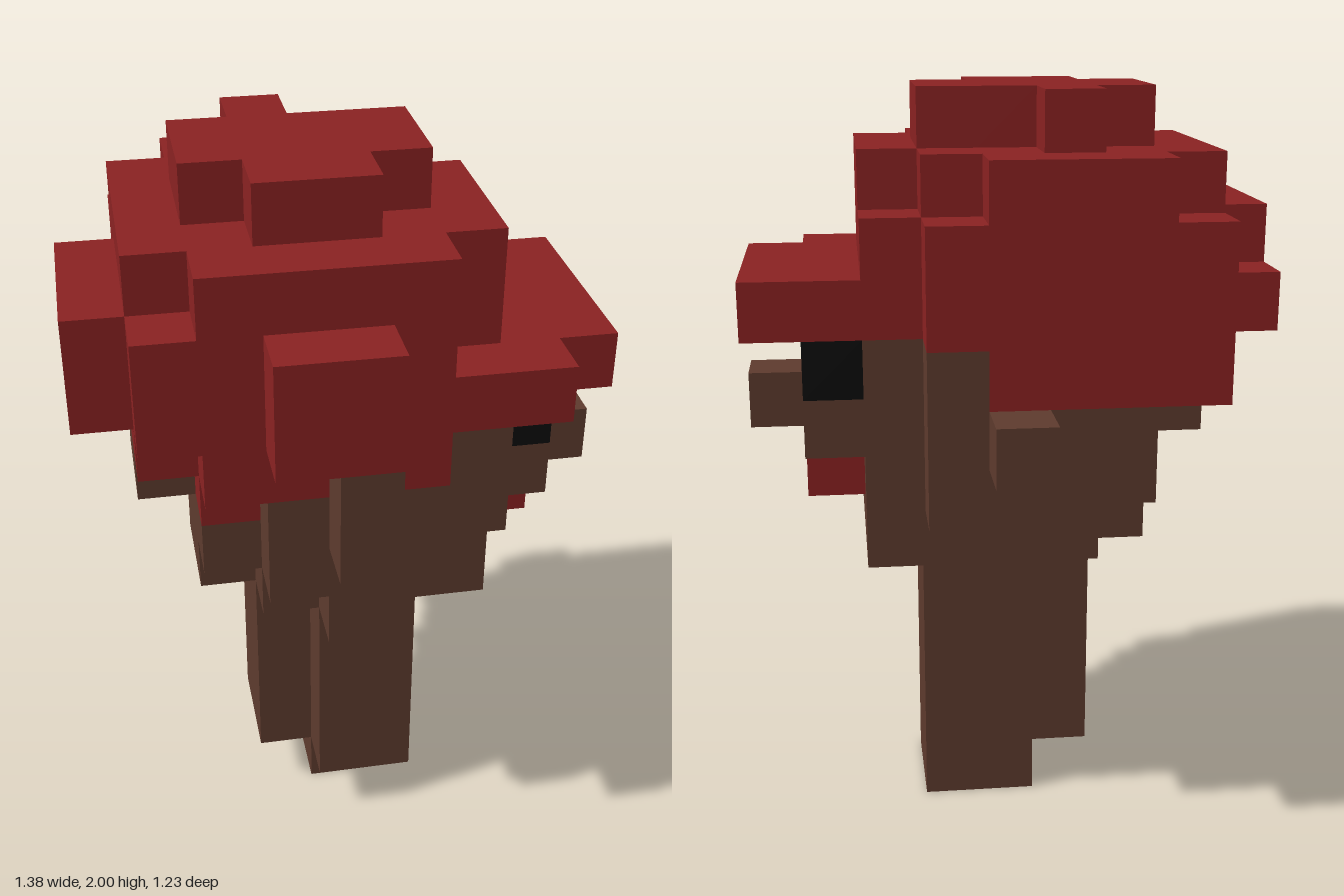
import * as THREE from 'three';
import { mergeGeometries } from 'three/addons/utils/BufferGeometryUtils.js';

const U = 2 / 13; // size of one block

export function createModel() {
  const mat = (name, color) => new THREE.MeshStandardMaterial({ name, color });
  const skin = mat('brown skin', 0x5e3b2e);
  const red = mat('dark red', 0x8b2222);
  const black = mat('black', 0x0c0c0c);

  // Block grid; a later part replaces blocks of an earlier one
  const grid = new Map();
  const key = (x, y, z) => `${x},${y},${z}`;
  const put = (part, x, y, z) => grid.set(key(x, y, z), { part, x, y, z });

  // Solid range of blocks, ends included
  const box = (part, x0, x1, y0, y1, z0, z1) => {
    for (let x = x0; x <= x1; x++)
      for (let y = y0; y <= y1; y++)
        for (let z = z0; z <= z1; z++) put(part, x, y, z);
  };

  // One round layer of blocks
  const disc = (part, y, cx, cz, radiusSquared) => {
    for (let x = 0; x < 9; x++)
      for (let z = 0; z < 8; z++)
        if ((x - cx) ** 2 + (z - cz) ** 2 < radiusSquared) put(part, x, y, z);
  };

  // Neck
  box('neck', 4, 5, 0, 4, 3, 4);
  box('neck', 3, 3, 1, 4, 3, 4);
  box('neck', 4, 4, 1, 4, 5, 5);

  // Head, widening from chin to brow, with the face plate and nape
  [6, 7.6, 9.9, 9.9].forEach((r2, i) => disc('head', 5 + i, 4.2, 3.6, r2));
  box('head', 7, 7, 7, 8, 2, 5);
  box('head', 1, 1, 7, 7, 3, 4);

  // Features
  box('nose', 8, 8, 7, 7, 4, 4);
  box('leftEar', 4, 4, 7, 8, 7, 7);
  box('rightEar', 4, 4, 7, 7, 0, 0);
  box('mouth', 7, 7, 6, 6, 3, 4);
  box('eyes', 7, 7, 8, 8, 5, 5);
  box('eyes', 7, 7, 8, 8, 2, 3);

  // Cap: lower edge round the sides and back
  box('cap', 2, 2, 7, 7, 5, 5);
  box('cap', 1, 4, 8, 8, 1, 1);
  box('cap', 1, 1, 8, 8, 2, 5);
  box('cap', 2, 5, 8, 8, 6, 6);
  // Cap: widest band
  box('cap', 1, 5, 9, 10, 1, 6);
  box('cap', 6, 6, 9, 10, 2, 5);
  box('cap', 0, 0, 9, 10, 3, 5);
  box('cap', 0, 0, 9, 9, 2, 2);
  box('cap', 3, 4, 9, 10, 7, 7);
  // Cap: rounded crown and top
  disc('cap', 11, 3.4, 3.7, 9.45);
  disc('cap', 12, 3.4, 3.7, 3.15);
  // Cap brim
  box('capBrim', 7, 8, 9, 9, 2, 5);
  box('capBrim', 6, 7, 9, 9, 6, 6);

  // The six sides of a block, each a square facing outward
  const square = () => new THREE.PlaneGeometry(U, U).translate(0, 0, U / 2);
  const sides = [];
  for (let i = 0; i < 4; i++) sides.push(square().rotateY(i * Math.PI / 2));
  for (const s of [-1, 1]) sides.push(square().rotateX(s * Math.PI / 2));

  // Build every part from its exposed block sides only
  const materials = {
    neck: skin, head: skin, nose: skin, leftEar: skin, rightEar: skin,
    mouth: red, eyes: black, cap: red, capBrim: red,
  };
  const group = new THREE.Group();
  group.name = 'blockHeadWithCap';
  for (const [name, material] of Object.entries(materials)) {
    const faces = [];
    for (const { part, x, y, z } of grid.values()) {
      if (part !== name) continue;
      for (const side of sides) {
        const n = new THREE.Vector3().fromBufferAttribute(side.attributes.normal, 0).round();
        if (grid.has(key(x + n.x, y + n.y, z + n.z))) continue;
        faces.push(side.clone().translate((x - 4) * U, (y + 0.5) * U, (z - 3.5) * U));
      }
    }
    const mesh = new THREE.Mesh(mergeGeometries(faces), material);
    mesh.name = name;
    group.add(mesh);
  }
  return group;
}
